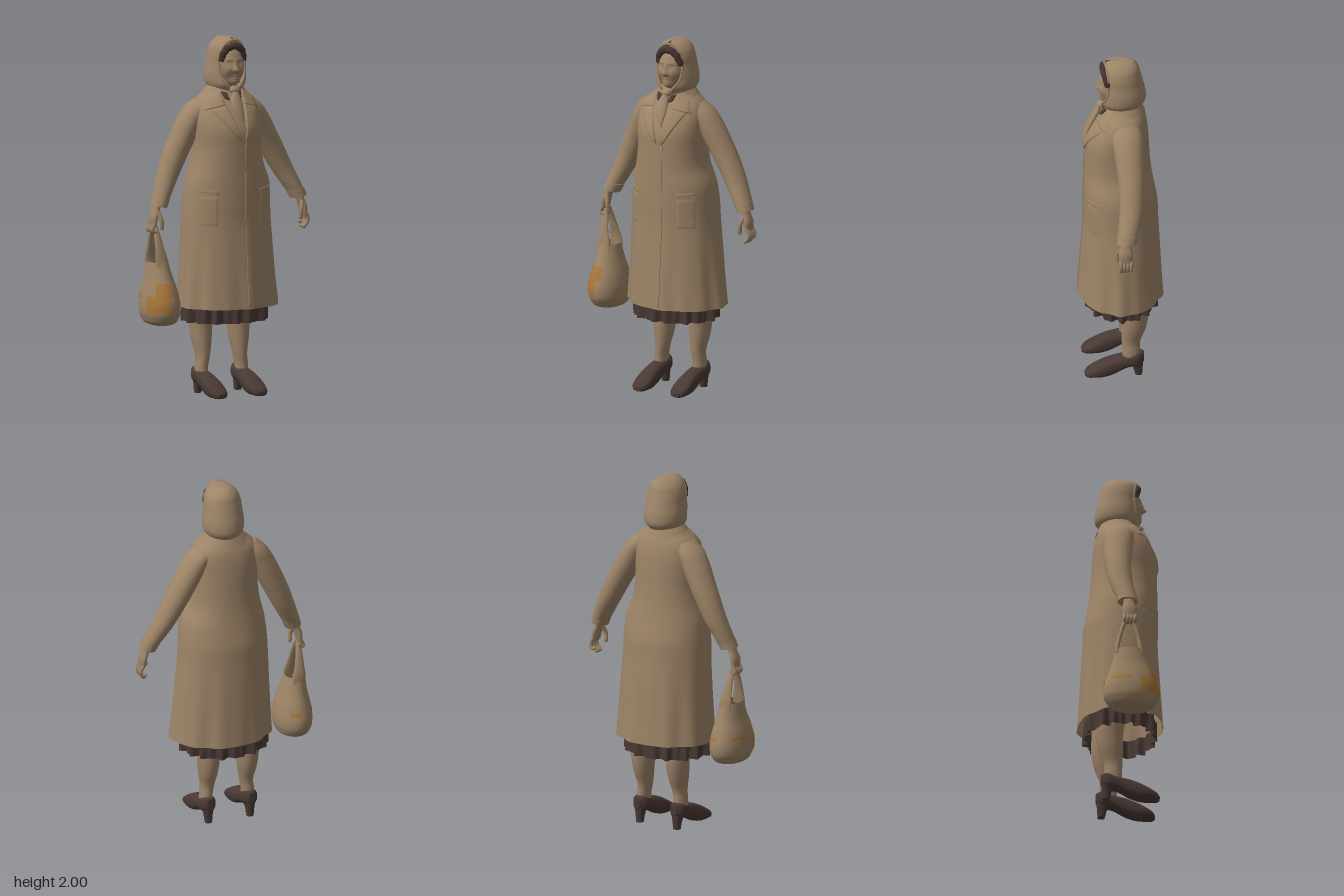
import * as THREE from 'three';

const paint = (name, color) => {
  const m = new THREE.MeshStandardMaterial({ color, side: THREE.DoubleSide });
  m.name = name;
  return m;
};

// Smoothly resampled cross-sections: each row is [y, cx, cz, rx, rz, extra]
const sampler = (rows) => {
  const it = new THREE.CubicInterpolant(rows.map((r) => r[0]), rows.flatMap((r) => r.slice(1).concat(0).slice(0, 5)), 5);
  return (y) => Array.from(it.evaluate(y));
};
const spow = (v, e) => Math.sign(v) * Math.abs(v) ** e;
const fold = (a, r, f) => 1 + r * (0.6 * Math.sin(f * a + 1) + 0.4 * Math.sin(Math.round(f * 1.6) * a));

// Stacks rings along y. from/to gives an open arc, hood makes the extra value a front opening angle.
function column(rows, o = {}) {
  const { n = 16, segs = 28, tilt = 0, power = () => 1, freq = 9, from = 0, to = Math.PI * 2, hood = false, bottom = true, top = true } = o;
  const at = sampler(rows), y0 = rows[0][0], y1 = rows[rows.length - 1][0];
  const closed = !hood && to - from > 6.28, cols = closed ? segs : segs + 1;
  const pos = [], idx = [];
  for (let i = 0; i <= n; i++) {
    const y = y0 + ((y1 - y0) * i) / n, e = power(y);
    const [cx, cz, rx, rz, extra] = at(y);
    const a0 = hood ? Math.PI / 2 + extra : from;
    const a1 = hood ? Math.PI * 2.5 - extra : to;
    for (let j = 0; j < cols; j++) {
      const a = a0 + ((a1 - a0) * j) / segs, f = hood ? 1 : fold(a, extra, freq);
      const dx = rx * f * spow(Math.cos(a), e);
      pos.push(cx + dx, y + tilt * dx, cz + rz * f * spow(Math.sin(a), e));
    }
  }
  for (let i = 0; i < n; i++)
    for (let j = 0; j < segs; j++) {
      const k = (j + 1) % cols, a = i * cols + j, b = i * cols + k;
      idx.push(a, a + cols, b, b, a + cols, b + cols);
    }
  // End caps have their own vertices so their edges stay crisp
  const cap = (i, up) => {
    const [cx, cz] = at(i ? y1 : y0), c = pos.length / 3;
    pos.push(cx, i ? y1 : y0, cz);
    for (let j = 0; j < cols; j++) pos.push(...pos.slice((i * cols + j) * 3, (i * cols + j) * 3 + 3));
    for (let j = 0; j < segs; j++) {
      const p = c + 1 + j, q = c + 1 + ((j + 1) % cols);
      idx.push(c, up ? q : p, up ? p : q);
    }
  };
  if (closed && bottom) cap(0, false);
  if ((closed || hood) && top) cap(n, true);
  const g = new THREE.BufferGeometry();
  g.setAttribute('position', new THREE.Float32BufferAttribute(pos, 3));
  g.setIndex(idx);
  g.computeVertexNormals();
  return g;
}

const COAT = [
  [0.5, 0.022, -0.002, 0.292, 0.236, 0.03], [0.65, 0.018, -0.002, 0.279, 0.227, 0.022], [0.8, 0.015, -0.003, 0.268, 0.219, 0.013],
  [1.0, 0.01, -0.003, 0.254, 0.208, 0.003], [1.08, 0.01, -0.001, 0.249, 0.207, 0], [1.2, 0.01, 0.009, 0.236, 0.196, 0], [1.3, 0.003, 0.015, 0.205, 0.187, 0],
  [1.4, 0.003, 0.018, 0.194, 0.182, 0], [1.5, 0, 0.018, 0.196, 0.177, 0], [1.58, 0, 0.005, 0.193, 0.157, 0],
  [1.65, 0.003, -0.01, 0.17, 0.127, 0], [1.69, 0.005, -0.012, 0.125, 0.105, 0], [1.73, 0.008, -0.01, 0.085, 0.085, 0],
];
// Boxy at the chest, rounder towards the hem
const coatPower = (y) => THREE.MathUtils.mapLinear(THREE.MathUtils.clamp(y, 0.5, 1.3), 0.5, 1.3, 1.03, 0.91);
const coatAt = sampler(COAT);
const coatZ = (x, y) => {
  const [cx, cz, rx, rz, r] = coatAt(y), e = coatPower(y);
  let a = Math.PI / 2, f = 1;
  for (let i = 0; i < 4; i++) {
    f = fold(a, r, 9);
    a = Math.acos(Math.sign(x - cx) * Math.min(0.99, Math.abs(x - cx) / (rx * f)) ** (1 / e));
  }
  return cz + rz * f * Math.sin(a) ** e;
};

// Thin cloth panel laid on the coat front; corners run counter-clockwise from bottom left
function panel(corners, lift = 0.009, n = 12) {
  const g = new THREE.PlaneGeometry(1, 1, n, n), p = g.attributes.position;
  const [A, B, C, D] = corners;
  for (let i = 0; i < p.count; i++) {
    const u = p.getX(i) + 0.5, v = p.getY(i) + 0.5;
    const q = (k) => (A[k] * (1 - u) + B[k] * u) * (1 - v) + (D[k] * (1 - u) + C[k] * u) * v;
    const edge = u < 0.01 || u > 0.99 || v < 0.01 || v > 0.99;
    p.setXYZ(i, q(0), q(1), coatZ(q(0), q(1)) + (edge ? -0.002 : lift));
  }
  g.computeVertexNormals();
  return g;
}

// Face: an ellipsoid pushed in and out by soft bumps [x, y, width, height, amount]
function faceGeometry() {
  const g = new THREE.SphereGeometry(1, 64, 56);
  g.scale(0.083, 0.12, 0.083);
  const bumps = [
    [0, -0.016, 0.013, 0.014, 0.024], [0, 0.012, 0.01, 0.025, 0.012], [0, -0.05, 0.02, 0.007, 0.007],
    [0, -0.063, 0.017, 0.007, 0.007], [0, -0.088, 0.03, 0.022, 0.024], [0, -0.057, 0.02, 0.003, -0.005],
  ];
  for (const s of [-1, 1]) bumps.push([s * 0.031, 0.02, 0.014, 0.011, -0.012], [s * 0.031, 0.019, 0.01, 0.006, 0.008],
    [s * 0.031, 0.04, 0.02, 0.007, 0.005], [s * 0.042, -0.02, 0.022, 0.028, 0.009], [s * 0.013, -0.02, 0.006, 0.007, 0.008]);
  const p = g.attributes.position;
  for (let i = 0; i < p.count; i++) {
    const x = p.getX(i), y = p.getY(i), z = p.getZ(i);
    if (z <= 0) continue;
    let d = 0;
    for (const [bx, by, w, h, k] of bumps) d += k * Math.exp(-(((x - bx) / w) ** 2) - ((y - by) / h) ** 2);
    p.setZ(i, z + d * Math.min(1, z / 0.03));
  }
  g.computeVertexNormals();
  return g;
}

export function createModel() {
  const root = new THREE.Group();
  const mat = {
    coat: paint('coat cloth', 0x9d8467), skin: paint('skin', 0x9c8267), scarf: paint('scarf cloth', 0x9e8568),
    dark: paint('dark brown', 0x493934), hair: paint('hair', 0x45342f), bag: paint('bag', 0x9c8365), print: paint('orange print', 0xa6753a),
  };
  const add = (name, geo, m, parent = root) => {
    const mesh = new THREE.Mesh(geo, m);
    mesh.name = name;
    parent.add(mesh);
    return mesh;
  };
  const part = (name) => {
    const g = new THREE.Group();
    g.name = name;
    root.add(g);
    return g;
  };
  const tube = (pts, r) => new THREE.TubeGeometry(new THREE.CatmullRomCurve3(pts.map((p) => new THREE.Vector3(...p))), 30, r, 8);

  // Coat with collar, lapels, front overlap and pockets
  const coat = part('coat');
  add('coatBody', column(COAT, { n: 60, segs: 160, power: coatPower, bottom: false }), mat.coat, coat);
  add('frontOverlap', panel([[0.03, 0.502], [0.045, 0.502], [0.042, 1.44], [0.027, 1.44]], 0.004, 40), mat.coat, coat);
  add('backCollar', column([[1.66, 0.005, -0.018, 0.148, 0.122], [1.695, 0.006, -0.016, 0.122, 0.11], [1.74, 0.008, -0.012, 0.088, 0.096]],
    { from: 2.5, to: 6.92, n: 6 }), mat.coat, coat);
  for (const s of [-1, 1]) {
    const order = (c) => (s > 0 ? c : [c[1], c[0], c[3], c[2]]).map(([x, y]) => [s * x, y]);
    const shift = s * 0.02;
    add('lapel', panel(order([[0.01, 1.43], [0.025, 1.44], [0.15, 1.62], [0.055, 1.655]].map(([x, y], i) => [x + (i < 2 ? shift : 0), y])), 0.008), mat.coat, coat);
    add('collarPoint', panel(order([[0.05, 1.63], [0.168, 1.605], [0.13, 1.675], [0.065, 1.71]]), 0.01), mat.coat, coat);
    add('pocket', panel(order([[0.125, 0.96], [0.22, 0.96], [0.215, 1.14], [0.125, 1.14]]), 0.003), mat.coat, coat);
    add('pocketFlap', panel(order([[0.12, 1.145], [0.218, 1.155], [0.218, 1.172], [0.12, 1.162]]), 0.004), mat.coat, coat);
    add('blouseCollar', panel(order([[0.022, 1.655], [0.05, 1.665], [0.062, 1.705], [0.03, 1.7]]), 0.009), mat.dark, coat);
  }

  // Sleeves and hands; the right arm hangs a little closer to the body
  for (const s of [-1, 1]) {
    const arm = part(s > 0 ? 'leftArm' : 'rightArm');
    const pull = (y) => (s < 0 ? 0.05 * Math.max(0, (1.62 - y) / 0.53) : 0);
    const rows = [
      [1.08, 0.458, -0.004, 0.043, 0.053], [1.15, 0.42, -0.02, 0.052, 0.06], [1.23, 0.376, -0.036, 0.06, 0.066], [1.36, 0.306, -0.043, 0.07, 0.073],
      [1.45, 0.255, -0.04, 0.073, 0.079], [1.54, 0.203, -0.033, 0.074, 0.084], [1.61, 0.155, -0.028, 0.068, 0.082], [1.65, 0.122, -0.026, 0.05, 0.06],
    ].map(([y, x, ...r]) => [y, s * (x - pull(y)), ...r]);
    add('sleeve', column(rows, { n: 30, tilt: 0.12 * s }), mat.coat, arm);
    add('cuff', column([[1.075, rows[0][1], -0.004, 0.046, 0.056], [1.12, rows[0][1] - s * 0.019, -0.011, 0.049, 0.058]], { n: 3, tilt: 0.2 * s }), mat.coat, arm);
    const hand = new THREE.Group();
    hand.name = 'hand';
    hand.position.x = s < 0 ? 0.042 : 0;
    arm.add(hand);
    const palm = column([[0.97, s * 0.488, 0.002, 0.015, 0.036], [1.02, s * 0.482, 0.002, 0.021, 0.04], [1.06, s * 0.468, 0, 0.021, 0.031], [1.11, s * 0.452, -0.003, 0.024, 0.03]], { n: 10 });
    add('palm', palm, mat.skin, hand);
    const curl = s < 0 ? 0.03 : 0;
    for (let i = 0; i < 4; i++) {
      const z = -0.027 + i * 0.019, end = 0.905 + (i === 0 ? 0.02 : 0) + curl;
      add('finger', tube([[s * 0.487, 0.985, z], [s * 0.503, 0.95, z], [s * 0.497, 0.925 + curl / 2, z], [s * 0.478, end, z]], 0.01), mat.skin, hand);
      add('fingertip', new THREE.SphereGeometry(0.01, 8, 6).translate(s * 0.478, end, z), mat.skin, hand);
    }
    add('thumb', tube([[s * 0.468, 1.05, 0.025], [s * 0.455, 1.005, 0.045], [s * 0.45, 0.96, 0.043]], 0.012), mat.skin, hand);
    add('thumbTip', new THREE.SphereGeometry(0.012, 8, 6).translate(s * 0.45, 0.96, 0.043), mat.skin, hand);
  }

  // Head, wavy hair and headscarf
  const head = part('head');
  add('neck', column([[1.62, 0.008, 0, 0.07, 0.075], [1.8, 0.01, 0, 0.06, 0.065]], { n: 4 }), mat.skin, head);
  add('face', faceGeometry(), mat.skin, head).position.set(0.012, 1.842, 0.034);
  const wave = [];
  for (let i = 0; i <= 24; i++) {
    const a = (Math.PI * i) / 24, r = 1 + 0.035 * Math.sin(i * 1.6);
    wave.push([0.012 + 0.066 * r * Math.cos(a), 1.872 + 0.084 * r * Math.sin(a) ** 0.8, 0.07 + 0.024 * Math.sin(a)]);
  }
  add('hair', tube(wave, 0.02), mat.hair, head);
  const HOOD = [
    [1.705, 0.012, -0.01, 0.085, 0.1, 0.15], [1.74, 0.012, -0.015, 0.108, 0.124, 0.35], [1.79, 0.012, -0.018, 0.115, 0.125, 0.66],
    [1.86, 0.012, -0.012, 0.107, 0.117, 0.83], [1.92, 0.012, -0.004, 0.1, 0.11, 0.82], [1.96, 0.012, 0, 0.084, 0.102, 0.74],
    [1.985, 0.012, 0.003, 0.058, 0.086, 0.5], [1.996, 0.012, 0.004, 0.036, 0.07, 0.2], [2.0, 0.012, 0.004, 0.018, 0.045, 0.05],
  ];
  add('headscarf', column(HOOD, { n: 60, segs: 48, hood: true }), mat.scarf, head);
  const rim = (s) => HOOD.slice(0, 7).map(([y, cx, cz, rx, rz, o]) => [cx + s * rx * Math.sin(o), y - 0.004, cz + rz * Math.cos(o)]);
  add('scarfEdge', tube([...rim(-1), [0.012, 1.989, 0.088], ...rim(1).reverse()], 0.007), mat.scarf, head);
  add('scarfKnot', new THREE.SphereGeometry(0.03, 16, 12).scale(1, 0.75, 0.8).translate(0.01, 1.712, 0.105), mat.scarf, head);
  add('scarfTail', column([[1.535, 0.022, 0.185, 0.006, 0.006], [1.59, 0.01, 0.165, 0.026, 0.013], [1.65, 0.006, 0.137, 0.032, 0.018], [1.715, 0.01, 0.108, 0.015, 0.015]]), mat.scarf, head);

  // Ruffled skirt showing below the coat
  add('skirt', column([[0.416, 0.005, -0.006, 0.238, 0.194, 0.1], [0.47, 0.006, -0.005, 0.24, 0.194, 0.085], [0.525, 0.008, -0.003, 0.24, 0.195, 0.06]],
    { n: 8, segs: 240, freq: 15, bottom: false, top: false }), mat.dark);

  // Legs and heeled shoes
  for (const s of [-1, 1]) {
    const leg = part(s > 0 ? 'leftLeg' : 'rightLeg');
    leg.position.x = s > 0 ? 0.13 : -0.117;
    const k = -s * 0.008;
    add('calf', column([[0.09, 0, -0.05, 0.036, 0.048], [0.15, 0, -0.055, 0.036, 0.049], [0.21, k, -0.053, 0.038, 0.051], [0.3, k, -0.068, 0.054, 0.068],
      [0.4, k, -0.075, 0.063, 0.077], [0.65, k, -0.04, 0.075, 0.09]], { n: 24 }), mat.skin, leg);
    const shoe = column([[-0.124, 0, -0.115, 0.018, 0.03], [-0.1, 0, -0.11, 0.041, 0.044], [-0.03, 0, -0.094, 0.044, 0.04], [0.04, 0, -0.068, 0.048, 0.051],
      [0.1, 0, -0.048, 0.053, 0.047], [0.16, 0, -0.031, 0.05, 0.03], [0.19, 0, -0.021, 0.038, 0.02], [0.203, 0, -0.016, 0.018, 0.012]], { n: 28, power: () => 0.75 });
    add('shoe', shoe.rotateX(Math.PI / 2), mat.dark, leg);
    add('heel', column([[0, 0, -0.095, 0.02, 0.02], [0.05, 0, -0.09, 0.025, 0.028], [0.1, 0, -0.08, 0.037, 0.042]], { n: 6, power: () => 0.8 }), mat.dark, leg);
  }

  // Carrier bag with two handles meeting in the right hand
  const bag = part('bag');
  const BAG = [
    [0.41, -0.408, 0.015, 0.02, 0.03], [0.422, -0.408, 0.015, 0.065, 0.092], [0.46, -0.409, 0.015, 0.096, 0.141], [0.52, -0.41, 0.015, 0.105, 0.157],
    [0.6, -0.411, 0.014, 0.095, 0.138], [0.68, -0.414, 0.01, 0.074, 0.106], [0.77, -0.42, 0.003, 0.055, 0.077],
  ];
  add('bagBody', column(BAG, { n: 40, segs: 36, top: false }), mat.bag, bag);
  const bagAt = sampler(BAG);
  const printRows = (y0, y1) => [0, 1, 2, 3].map((i) => {
    const y = y0 + ((y1 - y0) * i) / 3, [cx, cz, rx, rz] = bagAt(y);
    return [y, cx, cz, rx + 0.003, rz + 0.003];
  });
  for (const [y0, y1, from, to] of [[0.585, 0.66, 1.35, 2.35], [0.49, 0.585, 1.6, 2.85], [0.565, 0.585, 3.2, 4.0], [0.56, 0.585, 4.7, 5.3]])
    add('bagPrint', column(printRows(y0, y1), { from, to, n: 6, segs: 14 }), mat.print, bag);
  for (const s of [-1, 1])
    add('bagHandle', column([[0.74, -0.418, 0.004 + s * 0.07, 0.04, 0.012], [0.79, -0.422, s * 0.064, 0.037, 0.012], [0.84, -0.427, s * 0.054, 0.028, 0.012],
      [0.91, -0.432, s * 0.034, 0.02, 0.012], [0.975, -0.436, s * 0.008, 0.012, 0.012]], { n: 16, segs: 16 }), mat.bag, bag);

  return root;
}
